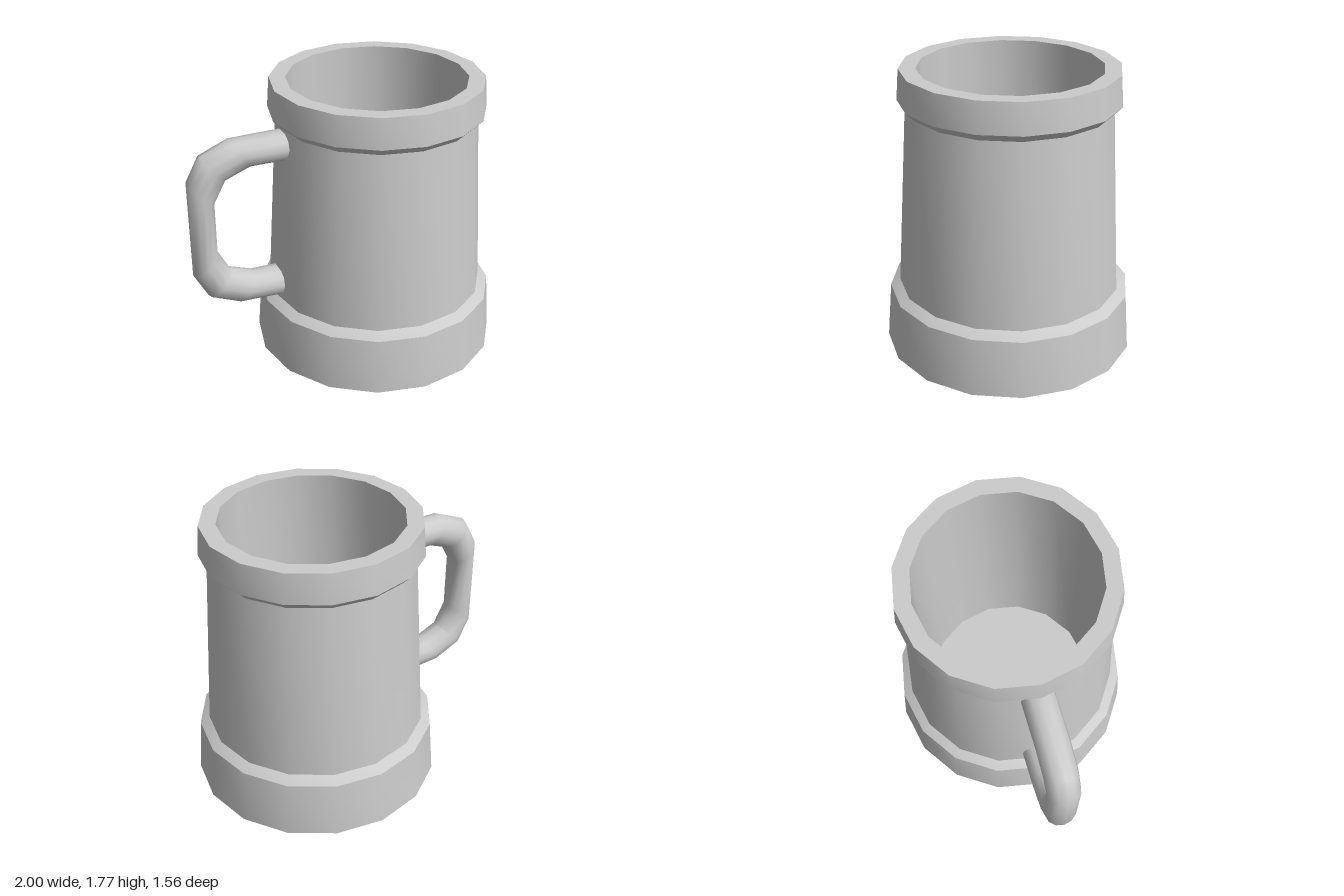
import * as THREE from 'three';
import { toCreasedNormals } from 'three/addons/utils/BufferGeometryUtils.js';

const material = new THREE.MeshStandardMaterial({ color: 0xcccccc });
const CENTRE_X = 0.22;

// Sixteen-sided hollow body: base, foot band, tapered wall, rim band, inside and floor
function createBody() {
  const profile = [
    [0, 0], [0.78, 0], [0.752, 0.36], [0.692, 0.4], [0.624, 1.54], [0.67, 1.587],
    [0.656, 1.775], [0.555, 1.775], [0.555, 0.12], [0, 0.12],
  ].map(([r, y]) => new THREE.Vector2(r, y));
  const geometry = toCreasedNormals(new THREE.LatheGeometry(profile, 16), Math.PI / 6);
  const body = new THREE.Mesh(geometry, material);
  body.name = 'mugBody';
  body.position.x = CENTRE_X;
  return body;
}

// Bent handle: elliptical sections spanning an outer and an inner outline
function createHandle() {
  const outer = [[-0.38, 1.53], [-0.73, 1.52], [-0.915, 1.44], [-1, 1.28],
    [-1, 0.66], [-0.915, 0.5], [-0.73, 0.42], [-0.43, 0.41]];
  const inner = [[-0.38, 1.34], [-0.61, 1.34], [-0.765, 1.28], [-0.84, 1.14],
    [-0.84, 0.8], [-0.765, 0.66], [-0.61, 0.605], [-0.43, 0.605]];
  const sides = 12, halfWidth = 0.103;
  const positions = [], indices = [];
  outer.forEach(([ox, oy], i) => {
    const [ix, iy] = inner[i];
    for (let j = 0; j < sides; j++) {
      const a = (j / sides) * Math.PI * 2;
      const t = (1 + Math.cos(a)) / 2;
      positions.push(ix + (ox - ix) * t, iy + (oy - iy) * t, halfWidth * Math.sin(a));
      if (i === 0) continue;
      const k = (j + 1) % sides, p = (i - 1) * sides, q = i * sides;
      indices.push(p + j, q + j, p + k, p + k, q + j, q + k);
    }
  });
  // End caps, buried in the wall
  const last = (outer.length - 1) * sides;
  for (let j = 1; j < sides - 1; j++) {
    indices.push(0, j, j + 1, last, last + j + 1, last + j);
  }
  const geometry = new THREE.BufferGeometry();
  geometry.setAttribute('position', new THREE.Float32BufferAttribute(positions, 3));
  geometry.setIndex(indices);
  const handle = new THREE.Mesh(toCreasedNormals(geometry, Math.PI / 4), material);
  handle.name = 'handle';
  return handle;
}

export function createModel() {
  const mug = new THREE.Group();
  mug.name = 'mug';
  mug.add(createBody(), createHandle());
  return mug;
}
